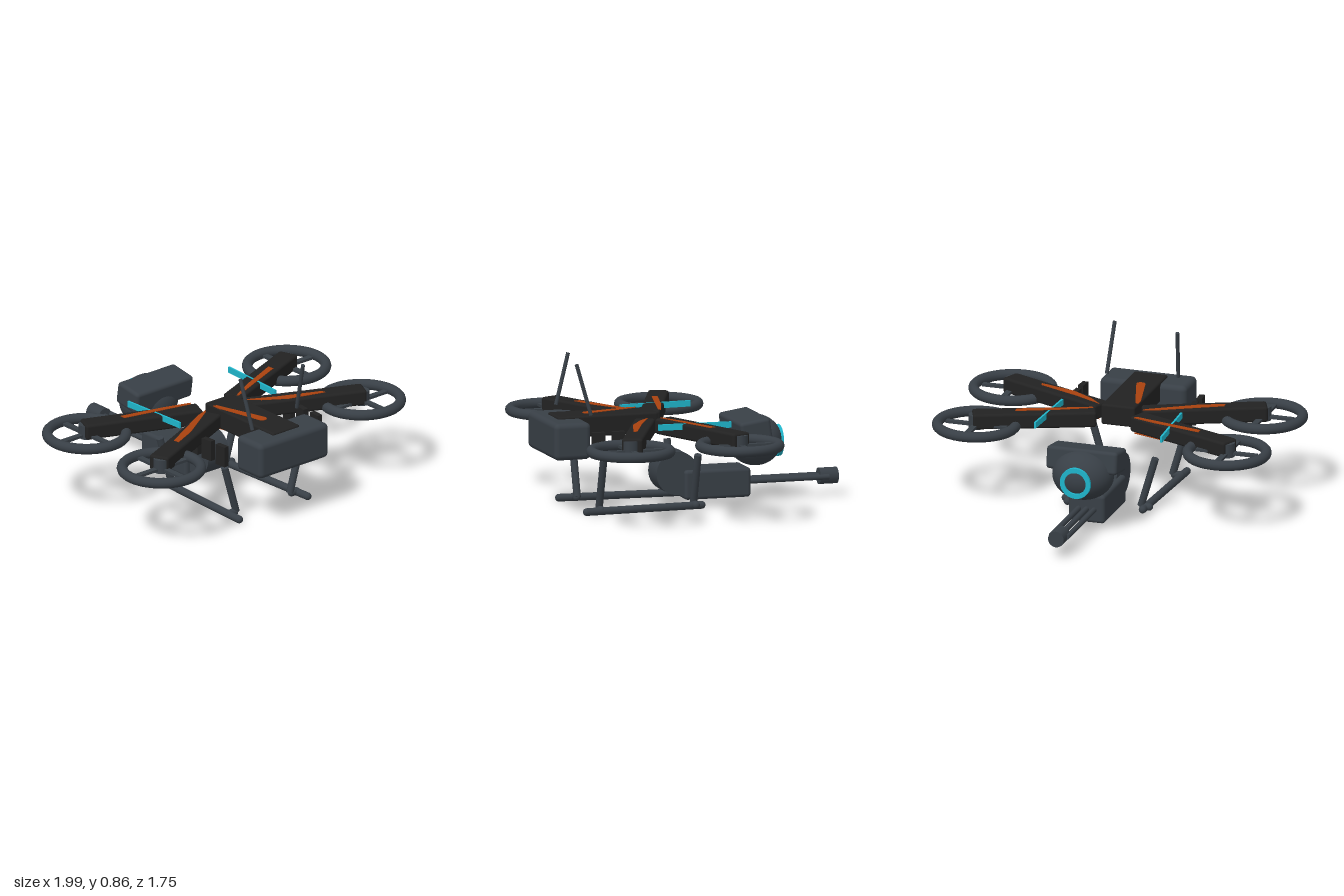
import * as THREE from 'three';
import { RoundedBoxGeometry } from 'three/addons/geometries/RoundedBoxGeometry.js';

const material = (name, color) => {
  const m = new THREE.MeshStandardMaterial({ color });
  m.name = name;
  return m;
};

export function createModel() {
  const slate = material('slate', 0x383f46);
  const black = material('black', 0x222222);
  const orange = material('orange', 0xa8410f);
  const cyan = material('cyan', 0x1fb5cb);
  const model = new THREE.Group();
  model.name = 'drone';

  const add = (name, geometry, mat, x = 0, y = 0, z = 0, parent = model) => {
    const mesh = new THREE.Mesh(geometry, mat);
    mesh.name = name;
    mesh.position.set(x, y, z);
    parent.add(mesh);
    return mesh;
  };
  const box = (w, h, d, r = 0.02) => new RoundedBoxGeometry(w, h, d, 3, r);
  // Round bar between two points
  const rod = (name, a, b, r, mat = slate, rounded = false) => {
    const from = new THREE.Vector3(...a), to = new THREE.Vector3(...b);
    const dir = to.clone().sub(from), len = dir.length();
    const geo = rounded ? new THREE.CapsuleGeometry(r, len - 2 * r, 5, 16) : new THREE.CylinderGeometry(r, r, len, 16);
    const mesh = add(name, geo, mat);
    mesh.position.copy(from).add(to).multiplyScalar(0.5);
    mesh.quaternion.setFromUnitVectors(new THREE.Vector3(0, 1, 0), dir.normalize());
    return mesh;
  };
  // Thin painted plate from an outline in x, z; its top is at y
  const plate = (name, points, y) => {
    const shape = new THREE.Shape(points.map(p => new THREE.Vector2(...p)));
    const geo = new THREE.ExtrudeGeometry(shape, { depth: 0.005, bevelEnabled: false });
    geo.rotateX(Math.PI / 2);
    return add(name, geo, orange, 0, y, 0);
  };

  // Body and battery
  add('body', box(0.2, 0.12, 0.59, 0.012), black, -0.003, 0.487, 0.505);
  add('batteryCase', box(0.514, 0.21, 0.214, 0.03), slate, 0, 0.43, 0.763);

  // Four arms with ducted rotors
  for (const side of [-1, 1]) {
    for (const [innerZ, outerZ, rotorZ] of [[0.19, -0.07, -0.064], [0.295, 0.58, 0.58]]) {
      const dx = 0.645 * side, dz = outerZ - innerZ;
      const arm = add('arm', box(Math.hypot(dx, dz), 0.09, 0.118, 0.015), black,
        side * 0.4425, 0.476, (innerZ + outerZ) / 2);
      arm.rotation.y = -Math.atan2(dz, dx);

      const rotor = new THREE.Group();
      rotor.name = 'rotor';
      rotor.position.set(side * 0.743, 0.447, rotorZ);
      model.add(rotor);
      const ring = new THREE.TorusGeometry(0.222, 0.03, 12, 48).rotateX(Math.PI / 2);
      add('rotorRing', ring, slate, 0, 0, 0, rotor);
      add('rotorHub', new THREE.CylinderGeometry(0.045, 0.045, 0.08, 20), slate, 0, 0.02, 0, rotor);
      add('bladeAcross', new THREE.BoxGeometry(0.36, 0.015, 0.034), slate, 0, 0, 0, rotor);
      add('bladeAlong', new THREE.BoxGeometry(0.034, 0.015, 0.37), slate, 0, 0, 0, rotor);
    }
  }

  // Painted streaks on both faces of the arms and body
  const armStreaks = [
    [[-0.55, 0.005], [-0.55, 0.04], [-0.14, 0.135], [-0.13, 0.12], [-0.3, 0.065]],
    [[0.54, 0.015], [0.545, 0.052], [0.15, 0.215], [0.14, 0.205], [0.3, 0.12]],
    [[-0.55, 0.465], [-0.545, 0.5], [-0.4, 0.435], [-0.15, 0.275], [-0.135, 0.255], [-0.22, 0.285]],
    [[0.13, 0.28], [0.3, 0.37], [0.54, 0.475], [0.545, 0.5], [0.33, 0.435], [0.2, 0.35]],
  ];
  for (const points of armStreaks) {
    plate('armStreak', points, 0.524);
    plate('armStreakUnder', points, 0.433);
  }
  const bodyStreak = [[-0.1, 0.33], [-0.1, 0.28], [-0.08, 0.29], [0.018, 0.6], [0.005, 0.622], [-0.02, 0.622], [-0.035, 0.605]];
  plate('bodyStreak', bodyStreak, 0.55);
  plate('bodyStreakUnder', bodyStreak, 0.429);

  // Light bars, cooling fins and landing gear on each side
  for (const side of [-1, 1]) {
    const bar = add('lightBar', new THREE.BoxGeometry(0.012, 0.035, 0.425), cyan, side * 0.364, 0.504, 0.08);
    bar.rotation.y = side * -0.05;
    for (const z of [0.645, 0.527, 0.412]) {
      const fin = add('coolingFin', new THREE.BoxGeometry(0.032, 0.12, 0.072), black, side * 0.349, 0.435, z);
      fin.rotation.y = side * -0.08;
    }
    rod('skid', [side * 0.255, 0.027, 0.705], [side * 0.222, 0.027, -0.028], 0.022, slate, true);
    for (const z of [0.035, 0.593]) {
      rod('strut', [side * 0.285, 0.325, z], [side * 0.2, 0.035, z], 0.021);
      rod('skidClamp', [side * 0.19, 0.032, z], [side * 0.27, 0.032, z], 0.022, slate, true);
    }
  }

  // Antennas leaning opposite ways
  rod('antenna', [-0.19, 0.57, 0.722], [-0.211, 0.86, 0.643], 0.011);
  rod('antenna', [0.208, 0.57, 0.643], [0.187, 0.86, 0.722], 0.011);

  // Camera head: ball, hood and glowing lens ring
  const ball = add('cameraBall', new THREE.SphereGeometry(1, 40, 28), slate, 0, 0.345, -0.39);
  ball.scale.set(0.177, 0.145, 0.153);
  const hood = add('cameraHood', box(0.42, 0.132, 0.18, 0.02), slate, 0, 0.422, -0.338);
  hood.rotation.x = 0.15;
  const ringShape = new THREE.Shape().absarc(0, 0, 0.09, 0, Math.PI * 2);
  ringShape.holes.push(new THREE.Path().absarc(0, 0, 0.063, 0, Math.PI * 2, true));
  add('lensRing', new THREE.ExtrudeGeometry(ringShape, { depth: 0.025, bevelEnabled: false, curveSegments: 32 }),
    cyan, 0, 0.335, -0.537);

  // Gun: housing, ammunition drum, three barrels and muzzle
  add('gunHousing', box(0.215, 0.168, 0.39, 0.02), slate, 0, 0.12, -0.142);
  add('ammoDrum', new THREE.CylinderGeometry(0.123, 0.123, 0.155, 40).rotateZ(Math.PI / 2), slate, 0, 0.188, 0.09);
  for (const x of [-0.046, 0, 0.046]) {
    rod('barrel', [x, 0.117, -0.3], [x, 0.117, -0.815], 0.0155);
  }
  rod('muzzle', [0, 0.117, -0.768], [0, 0.117, -0.875], 0.047);

  return model;
}
